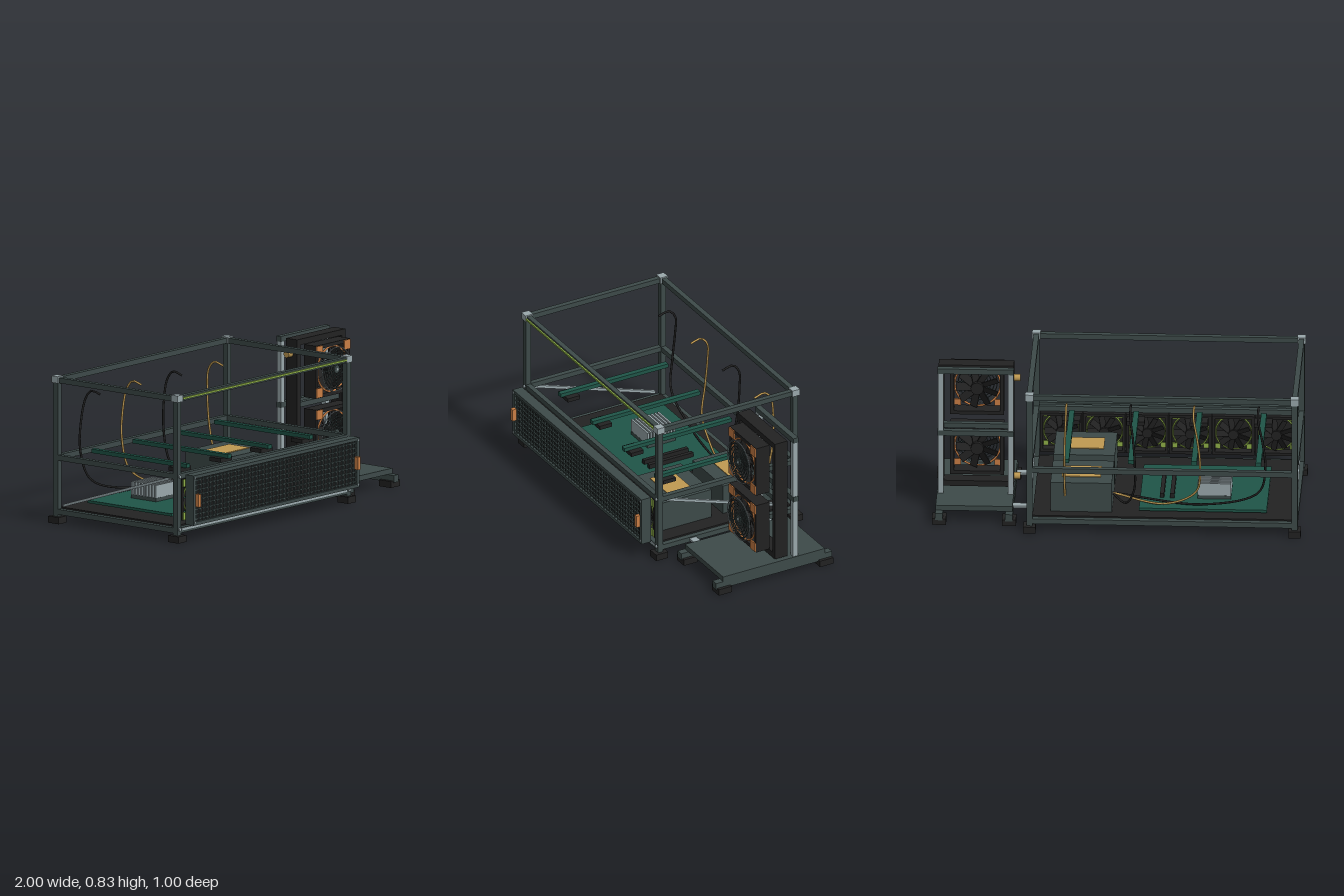
import * as THREE from 'three';

const mat = (name, color) => Object.assign(new THREE.MeshStandardMaterial({ color }), { name });

export function createModel() {
  const slate = mat('slate', 0x3d4a49), black = mat('black', 0x222222), alu = mat('aluminium', 0x9aa8ac);
  const pcb = mat('boardGreen', 0x1f5548), gold = mat('gold', 0xc09a52), copper = mat('copper', 0xcb7f45);
  const lime = mat('lime', 0x8fb048);
  const root = new THREE.Group();
  root.name = 'openRig';

  const group = (name, parent = root) => {
    const g = new THREE.Group();
    g.name = name;
    parent.add(g);
    return g;
  };
  const put = (parent, name, geo, material, x = 0, y = 0, z = 0) => {
    const m = new THREE.Mesh(geo, material);
    m.name = name;
    m.position.set(x, y, z);
    parent.add(m);
    return m;
  };
  // Box given by its extents on each axis
  const span = (parent, name, material, [x0, x1], [y0, y1], [z0, z1]) =>
    put(parent, name, new THREE.BoxGeometry(x1 - x0, y1 - y0, z1 - z0), material,
      (x0 + x1) / 2, (y0 + y1) / 2, (z0 + z1) / 2);
  // Box centred on a point
  const box = (parent, name, material, w, h, d, x, y, z) =>
    put(parent, name, new THREE.BoxGeometry(w, h, d), material, x, y, z);
  // Square bar between two points
  const bar = (parent, name, material, a, b, t) => {
    const p = new THREE.Vector3(...a), q = new THREE.Vector3(...b);
    const m = box(parent, name, material, t, t, p.distanceTo(q), 0, 0, 0);
    m.position.copy(p).add(q).multiplyScalar(0.5);
    m.lookAt(q);
    return m;
  };

  // Main frame: posts, feet, corner caps and three levels of rails
  const XL = -0.965, XR = 0.468, ZF = 0.377, ZB = -0.4625, T = 0.029;
  const frame = group('mainFrame');
  for (const x of [XL, XR]) {
    for (const z of [ZF, ZB]) {
      box(frame, 'post', slate, 0.032, 0.75, 0.032, x, 0.41, z);
      box(frame, 'foot', black, 0.066, 0.037, 0.074, x, 0.0185, z);
      box(frame, 'cornerCap', alu, 0.046, 0.037, 0.046, x, 0.79, z);
    }
    for (const y of [0.063, 0.361, 0.787]) span(frame, 'sideRail', slate, [x - T / 2, x + T / 2], [y - T / 2, y + T / 2], [ZB, ZF]);
    bar(frame, 'diagonalBrace', alu, [x, 0.353, 0.355], [x, 0.1, -0.417], 0.015);
    for (const y of [0.07, 0.361]) {
      const s = put(frame, 'frontBolt', new THREE.CylinderGeometry(0.009, 0.009, 0.008, 12), alu, x, y, ZF + 0.02);
      s.rotation.x = Math.PI / 2;
    }
  }
  for (const z of [ZF, ZB]) for (const y of [0.063, 0.361, 0.787])
    span(frame, 'longRail', slate, [XL, XR], [y - T / 2, y + T / 2], [z - T / 2, z + T / 2]);
  span(frame, 'lightStrip', lime, [-0.94, 0.445], [0.782, 0.792], [0.391, 0.4]);
  span(frame, 'frontTrim', alu, [-0.945, 0.45], [0.062, 0.074], [0.391, 0.395]);
  span(frame, 'floorTray', black, [-0.95, 0.453], [0.072, 0.086], [-0.448, 0.363]);

  // Main board with slots and finned heat sink
  const board = group('mainBoard');
  span(board, 'circuitBoard', pcb, [-0.81, -0.12], [0.095, 0.11], [-0.38, 0.21]);
  for (const x of [-0.293, -0.238]) span(board, 'slot', black, [x - 0.011, x + 0.011], [0.11, 0.135], [-0.235, 0.04]);
  span(board, 'heatSinkBase', slate, [-0.61, -0.43], [0.11, 0.13], [-0.24, -0.065]);
  for (let i = 0; i < 9; i++) {
    const z = -0.234 + i * 0.0203;
    span(board, 'heatSinkFin', alu, [-0.61, -0.43], [0.13, 0.2], [z - 0.0055, z + 0.0055]);
  }

  // Power supplies
  for (const [z0, z1] of [[-0.388, -0.083], [-0.01, 0.302]]) {
    const psu = group('powerSupply');
    const zc = (z0 + z1) / 2;
    span(psu, 'case', slate, [0.027, 0.358], [0.086, 0.255], [z0, z1]);
    span(psu, 'topPlate', gold, [0.09, 0.3], [0.255, 0.259], [zc - 0.072, zc + 0.072]);
    if (z0 > -0.1) for (let i = 0; i < 6; i++) box(psu, 'socket', black, 0.2, 0.01, 0.008, 0.19, 0.115 + i * 0.022, z1 + 0.003);
  }

  // Card supports and their cables
  [[-0.765, -0.805], [-0.417, -0.452], [-0.075, -0.1], [0.273, 0.281]].forEach(([x, xb], i) => {
    const card = group('cardSupport');
    span(card, 'supportBar', pcb, [x - 0.015, x + 0.015], [0.366, 0.388], [-0.378, 0.29]);
    span(card, 'supportClamp', black, [x - 0.049, x + 0.049], [0.346, 0.368], [0.19, 0.267]);
    const px = i < 3 ? 0.03 : 0.27;
    const path = new THREE.CatmullRomCurve3([
      [x, 0.69, -0.325], [x, 0.705, -0.39], [x, 0.66, -0.43], [xb * 0.6 + x * 0.4, 0.54, -0.442], [xb, 0.38, -0.435],
      [xb * 0.95 + px * 0.05, 0.22, -0.402], [xb * 0.6 + px * 0.4, 0.13, -0.36], [px, 0.15, i < 3 ? -0.27 : -0.38],
    ].map(p => new THREE.Vector3(...p)));
    put(card, 'cable', new THREE.TubeGeometry(path, 40, 0.006, 8), i % 2 ? gold : black);
  });

  // Fan facing +z: square frame, corner pads, ring, hub and tilted blades
  const fan = (parent, s, depth, accent, x, y, z) => {
    const g = group('fan', parent);
    g.position.set(x, y, z);
    const h = s / 2, t = s * 0.07, r = s * 0.43;
    for (const k of [-1, 1]) {
      box(g, 'frameSide', black, t, s, depth, k * (h - t / 2), 0, 0);
      box(g, 'frameEdge', black, s, t, depth, 0, k * (h - t / 2), 0);
      for (const j of [-1, 1]) box(g, 'cornerPad', accent, s * 0.18, s * 0.18, 0.008, k * s * 0.4, j * s * 0.4, depth / 2 + 0.002);
    }
    put(g, 'accentRing', new THREE.TorusGeometry(r, s * 0.02, 6, 32), accent, 0, 0, depth / 2 - 0.006);
    put(g, 'hub', new THREE.CylinderGeometry(s * 0.12, s * 0.12, depth * 0.7, 20), black).rotation.x = Math.PI / 2;
    for (let i = 0; i < 9; i++) {
      const arm = group('bladeArm', g);
      arm.rotation.z = i * Math.PI * 2 / 9;
      box(arm, 'blade', black, s * 0.3, s * 0.15, 0.005, s * 0.25, 0, 0).rotation.x = 0.55;
    }
    return g;
  };

  // Front radiator: framed core with grid mesh, handles and fans behind
  const rad = group('frontRadiator');
  span(rad, 'core', black, [-0.93, 0.437], [0.113, 0.36], [0.424, 0.464]);
  for (const x of [-0.936, 0.443]) {
    span(rad, 'frameSide', slate, [x - 0.01, x + 0.01], [0.098, 0.373], [0.42, 0.478]);
    box(rad, 'handle', copper, 0.022, 0.07, 0.024, x + (x < 0 ? 0.016 : -0.016), 0.235, 0.488);
    for (const y of [0.115, 0.358]) box(rad, 'screw', alu, 0.01, 0.01, 0.006, x, y, 0.479);
  }
  for (const y of [0.107, 0.364]) span(rad, 'frameEdge', slate, [-0.946, 0.453], [y - 0.009, y + 0.009], [0.42, 0.478]);
  for (let i = 0; i < 46; i++) box(rad, 'meshColumn', slate, 0.008, 0.24, 0.008, -0.91 + i * 0.0295, 0.235, 0.467);
  for (let i = 0; i < 9; i++) box(rad, 'meshRow', slate, 1.36, 0.006, 0.008, -0.2465, 0.13 + i * 0.0265, 0.469);
  for (let i = 0; i < 6; i++) fan(rad, 0.228, 0.054, lime, -0.829 + i * 0.2325, 0.23, 0.368);

  // Links joining the frame to the tower base
  for (const z of [-0.27, 0.176]) span(root, 'linkBar', alu, [0.34, 0.7], [0.058, 0.071], [z - 0.021, z + 0.021]);

  // Cooling tower: base, uprights and cross bars
  const tower = group('coolingTower');
  span(tower, 'basePlate', slate, [0.565, 0.98], [0.067, 0.096], [-0.36, 0.272]);
  for (const x of [0.582, 0.96]) {
    span(tower, 'baseRail', slate, [x - 0.02, x + 0.02], [0.027, 0.067], [-0.404, 0.316]);
    for (const z of [-0.362, 0.268]) box(tower, 'foot', black, 0.076, 0.036, 0.083, x, 0.018, z);
    span(tower, 'upright', alu, [x - 0.015, x + 0.015], [0.09, 0.8], [-0.195, -0.166]);
    span(tower, 'radiatorSide', black, [x - 0.014, x + 0.014], [0.112, 0.823], [-0.131, -0.053]);
  }
  for (const y of [0.45, 0.813]) span(tower, 'crossBar', slate, [0.565, 0.978], [y - 0.015, y + 0.015], [-0.197, -0.165]);
  span(tower, 'frontCrossBar', slate, [0.59, 0.95], [0.442, 0.47], [-0.105, -0.075]);
  for (const y of [0.128, 0.807]) span(tower, 'radiatorEdge', black, [0.57, 0.973], [y - 0.016, y + 0.016], [-0.131, -0.053]);
  for (const y of [0.743, 0.166]) {
    put(tower, 'hoseFitting', new THREE.CylinderGeometry(0.019, 0.019, 0.045, 16), gold, 0.555, y, -0.1).rotation.z = Math.PI / 2;
  }

  // Large tower fans with round wire guards
  for (const y of [0.645, 0.293]) {
    const f = fan(tower, 0.29, 0.083, copper, 0.77, y, -0.0115);
    put(f, 'guardRim', new THREE.TorusGeometry(0.121, 0.003, 6, 40), alu, 0, 0, 0.067);
    for (const r of [0.035, 0.053, 0.071, 0.089, 0.105])
      put(f, 'guardRing', new THREE.TorusGeometry(r, 0.003, 5, 36), slate, 0, 0, 0.066);
    for (let i = 0; i < 6; i++) box(f, 'guardSpoke', slate, 0.242, 0.004, 0.004, 0, 0, 0.066).rotation.z = i * Math.PI / 6;
    put(f, 'guardHub', new THREE.CylinderGeometry(0.022, 0.022, 0.008, 20), slate, 0, 0, 0.066).rotation.x = Math.PI / 2;
    put(f, 'hubCap', new THREE.CylinderGeometry(0.008, 0.008, 0.004, 12), alu, 0, 0, 0.071).rotation.x = Math.PI / 2;
  }
  return root;
}
